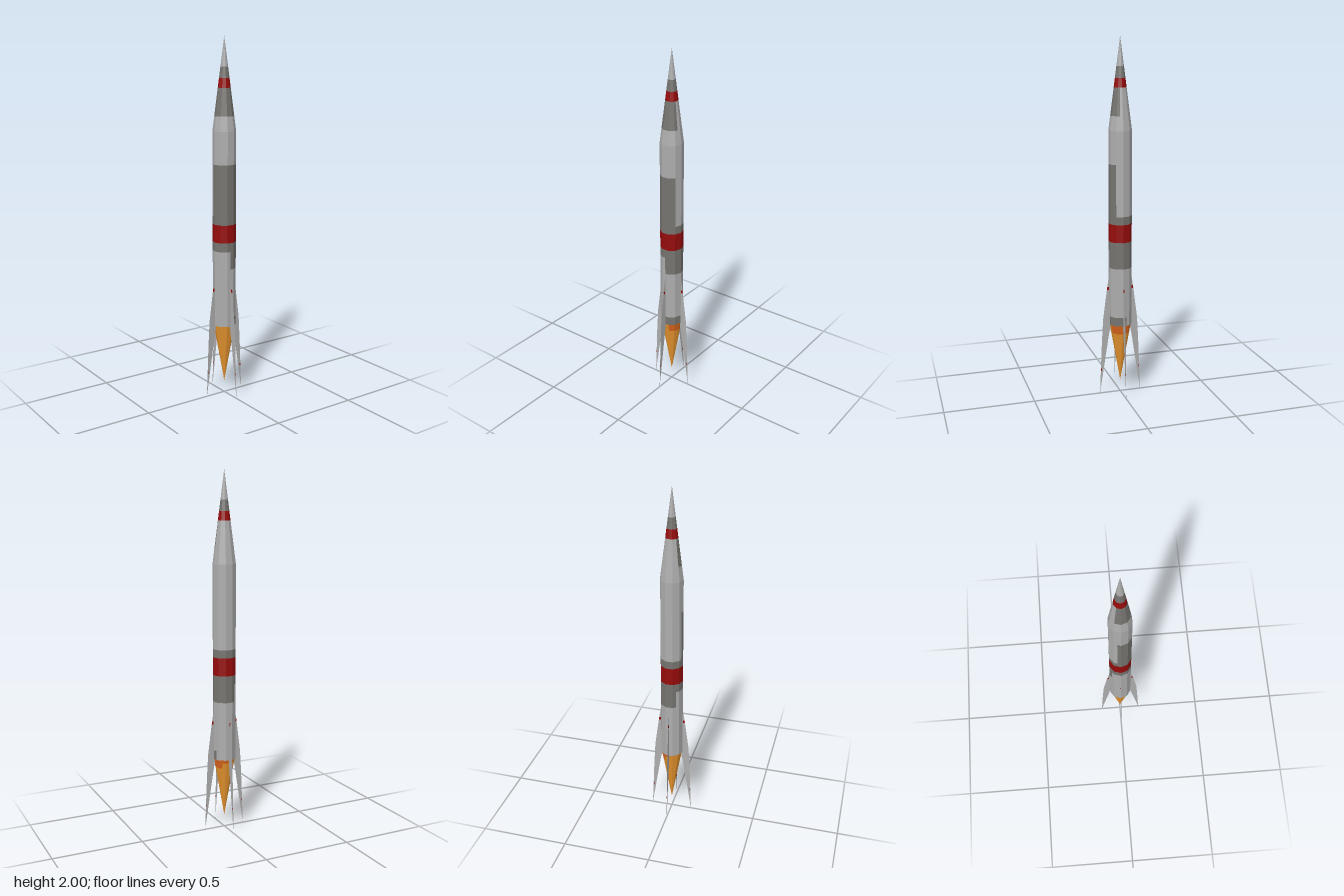
import * as THREE from 'three';

const paint = (name, color) => {
  const m = new THREE.MeshStandardMaterial({ color });
  m.name = name;
  return m;
};

// Point on a ten-sided section: odd half-steps lie in the middle of a flat
const COLUMNS = 20;
const ring = (i, r, y) => {
  const a = (i * Math.PI * 2) / COLUMNS;
  const d = i % 2 ? r * Math.cos(Math.PI / 10) : r;
  return [Math.cos(a) * d, y, Math.sin(a) * d];
};

// Faceted shell through [y, radius] levels; pick(angle, y) gives a material index per cell
function shell(name, levels, materials, pick) {
  const cells = materials.map(() => []);
  for (let k = 0; k < levels.length - 1; k++) {
    const [y0, r0] = levels[k], [y1, r1] = levels[k + 1];
    for (let i = 0; i < COLUMNS; i++) {
      const a = ring(i + 1, r0, y0), b = ring(i, r0, y0);
      const c = ring(i, r1, y1), d = ring(i + 1, r1, y1);
      const out = cells[pick((i + 0.5) * 18, (y0 + y1) / 2)];
      if (r0 > 0) out.push(...a, ...b, ...c);
      if (r1 > 0) out.push(...a, ...c, ...d);
      if (r0 === 0) out.push(...a, ...c, ...d).toString();
    }
  }
  const geo = new THREE.BufferGeometry();
  let start = 0;
  cells.forEach((list, i) => {
    geo.addGroup(start, list.length / 3, i);
    start += list.length / 3;
  });
  geo.setAttribute('position', new THREE.Float32BufferAttribute(cells.flat(), 3));
  geo.computeVertexNormals();
  const mesh = new THREE.Mesh(geo, materials);
  mesh.name = name;
  return mesh;
}

const flatShape = (points) =>
  new THREE.ShapeGeometry(new THREE.Shape(points.map(([x, y]) => new THREE.Vector2(x, y))));

export function createModel() {
  const group = new THREE.Group();
  group.name = 'rocket';
  const light = paint('light grey', 0xadadad);
  const dark = paint('dark grey', 0x767470);
  const red = paint('deep red', 0x960c0c);
  const orange = paint('orange', 0xe6942e);
  const burnt = paint('burnt orange', 0xda661e);
  light.side = THREE.DoubleSide;
  red.side = THREE.DoubleSide;
  const hull = [light, dark, red];
  const R = 0.064;
  const within = (a, from, to) => (from < 0 ? a < to || a > 360 + from : a > from && a < to);

  // Hull tube, with a red belt and worn dark patches
  const bodyLevels = [0.41, 0.46, 0.74, 0.84, 0.89, 0.99, 1.035, 1.32, 1.5].map((y) => [y, R]);
  group.add(shell('body', [[0.41, 0.058], ...bodyLevels], hull, (a, y) => {
    if (y > 0.89 && y < 0.99) return 2;
    if (y < 0.46) return within(a, -18, 90) ? 1 : 0;
    if (y < 0.74) return 0;
    if (y < 0.84) return within(a, 90, 234) ? 0 : 1;
    if (y < 1.035) return 1;
    if (y < 1.32) return within(a, 36, 198) ? 1 : 0;
    return 0;
  }));

  // Pointed nose with a red band
  const noseLevels = [1.5, 1.58, 1.73, 1.78, 1.84, 2].map((y) => [y, (R * (2 - y)) / 0.5]);
  group.add(shell('nose', noseLevels, hull, (a, y) => {
    if (y > 1.73 && y < 1.78) return 2;
    if (y < 1.58 || y > 1.84) return 0;
    return y > 1.78 || within(a, 18, 216) ? 1 : 0;
  }));

  // Exhaust cone, darker round the mouth on one side
  const coneLevels = [0.07, 0.36, 0.39, 0.41].map((y) => [y, (0.06 * (y - 0.07)) / 0.34]);
  group.add(shell('exhaustFlame', coneLevels, [orange, burnt], (a, y) => {
    if (y < 0.36) return 0;
    return within(a, y > 0.39 ? -90 : -54, 72) ? 1 : 0;
  }));

  // Four swept sheet fins with small red marks on both faces
  const finShape = flatShape([
    [0.058, 0.74], [0.058, 0.39], [0.068, 0.335], [0.12, 0],
    [0.108, 0.3], [0.1, 0.44], [0.079, 0.6],
  ]);
  const markShapes = [
    flatShape([[0.066, 0.61], [0.077, 0.61], [0.075, 0.628], [0.066, 0.628]]),
    flatShape([[0.109, 0.135], [0.113, 0.135], [0.113, 0.148], [0.109, 0.148]]),
  ];
  for (let i = 0; i < 4; i++) {
    const fin = new THREE.Group();
    fin.name = 'fin';
    const sheet = new THREE.Mesh(finShape, light);
    sheet.name = 'finSheet';
    fin.add(sheet);
    for (const shape of markShapes) {
      for (const z of [-0.001, 0.001]) {
        const mark = new THREE.Mesh(shape, red);
        mark.name = 'finMark';
        mark.position.z = z;
        fin.add(mark);
      }
    }
    fin.rotation.y = (i * Math.PI) / 2;
    group.add(fin);
  }
  return group;
}
